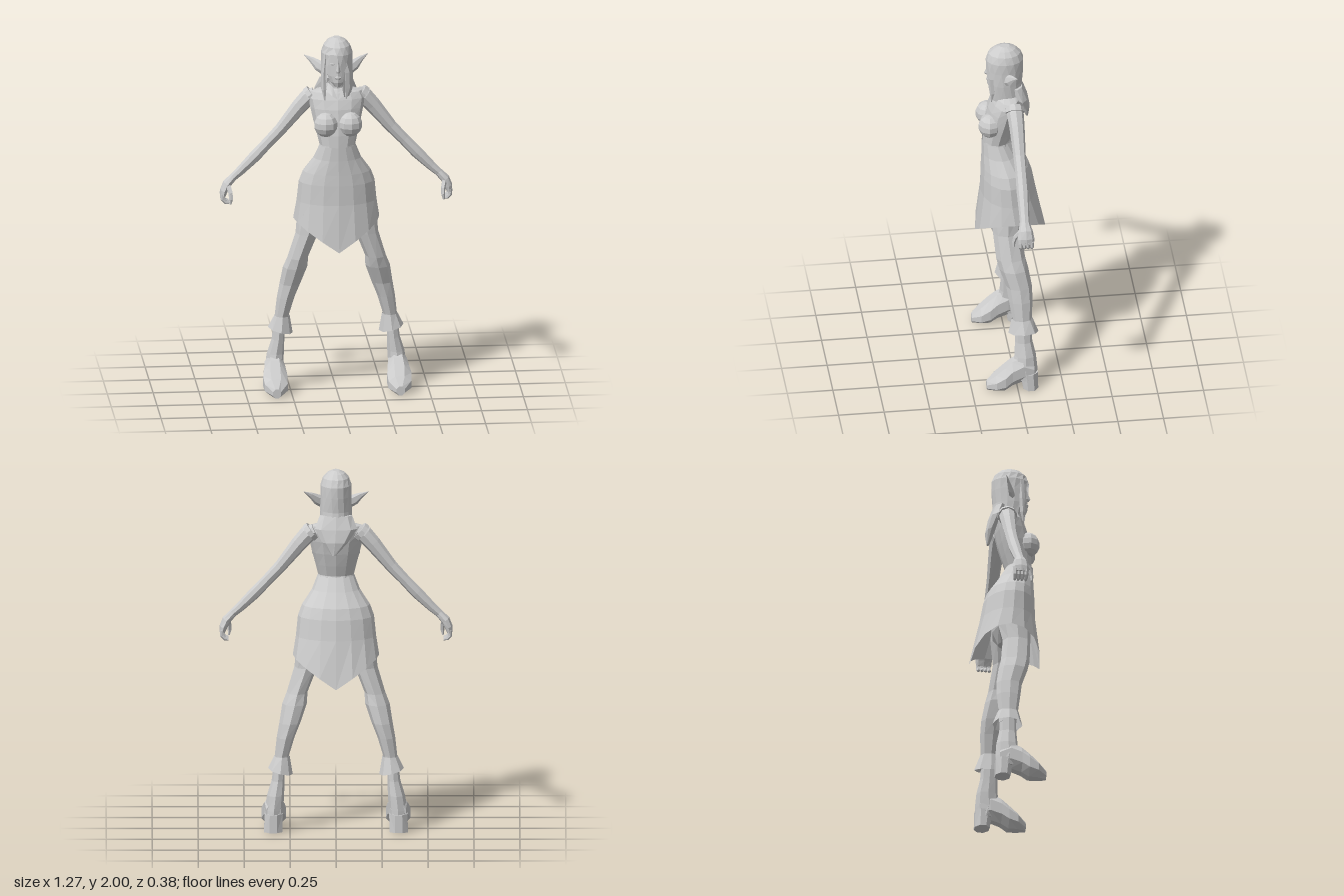
import * as THREE from 'three';

const clay = new THREE.MeshStandardMaterial({ color: 0xcccccc, flatShading: true, side: THREE.DoubleSide });
clay.name = 'pale grey';

// Skin a list of rings (arrays of Vector3, counter-clockwise about the path)
function loft(rings, { closed = true, caps = true } = {}) {
  const pos = [];
  const tri = (...p) => p.forEach((v) => pos.push(v.x, v.y, v.z));
  const n = rings[0].length;
  const edges = closed ? n : n - 1;
  for (let r = 0; r < rings.length - 1; r++) {
    const lo = rings[r], hi = rings[r + 1];
    for (let i = 0; i < edges; i++) {
      const j = (i + 1) % n;
      tri(lo[i], lo[j], hi[j]);
      tri(lo[i], hi[j], hi[i]);
    }
  }
  if (caps) {
    [rings[0], rings[rings.length - 1]].forEach((ring, top) => {
      const mid = ring.reduce((s, v) => s.add(v), new THREE.Vector3()).divideScalar(n);
      for (let i = 0; i < n; i++) {
        const j = (i + 1) % n;
        if (top) tri(ring[i], ring[j], mid);
        else tri(ring[j], ring[i], mid);
      }
    });
  }
  const geo = new THREE.BufferGeometry();
  geo.setAttribute('position', new THREE.Float32BufferAttribute(pos, 3));
  geo.computeVertexNormals();
  return geo;
}

// Horizontal oval ring filling x0..x1 and z0..z1; a flat one has level sides
function ring([y, x0, x1, z0, z1, t0 = 0, t1 = Math.PI * 2], n, flat = false, open = false) {
  const k = flat ? 1 / Math.cos(Math.PI / n) : 1;
  return Array.from({ length: n }, (_, i) => {
    const t = t0 + ((i + (flat ? 0.5 : 0)) / (open ? n - 1 : n)) * (t1 - t0);
    return new THREE.Vector3(
      (x0 + x1) / 2 + Math.sin(t) * k * (x1 - x0) / 2, y,
      (z0 + z1) / 2 + Math.cos(t) * k * (z1 - z0) / 2);
  });
}
const stack = (rows, n = 8, flat = false) => loft(rows.map((r) => ring(r, n, flat)));
const even = (rows, n) => stack(rows.map(([y, rx, z0, z1]) => [y, -rx, rx, z0, z1]), n);

// Tapered limb through [x, y, z, radius in the xy plane, radius across it]
function limb(pts, n = 8) {
  return loft(pts.map(([x, y, z, ra, rb], i) => {
    const a = pts[Math.max(i - 1, 0)], b = pts[Math.min(i + 1, pts.length - 1)];
    const len = Math.hypot(b[0] - a[0], b[1] - a[1]);
    const tx = (b[0] - a[0]) / len, ty = (b[1] - a[1]) / len;
    return Array.from({ length: n }, (_, k) => {
      const t = (k / n) * Math.PI * 2, u = Math.cos(t) * ra;
      return new THREE.Vector3(x - ty * u, y + tx * u, z + Math.sin(t) * rb);
    });
  }));
}

// Mirror a geometry in x and restore its winding
function mirrored(geo) {
  const g = geo.index ? geo.toNonIndexed() : geo.clone();
  const p = g.attributes.position;
  const at = (i) => new THREE.Vector3().fromBufferAttribute(p, i);
  for (let i = 0; i < p.count; i += 3) {
    [at(i), at(i + 2), at(i + 1)].forEach((v, k) => p.setXYZ(i + k, -v.x, v.y, v.z));
  }
  g.computeVertexNormals();
  return g;
}

export function createModel() {
  const model = new THREE.Group();
  model.name = 'figure';
  const add = (name, geo) => {
    const mesh = new THREE.Mesh(geo, clay);
    mesh.name = name;
    model.add(mesh);
  };
  const pair = (name, geo) => {
    add(name + 'Left', geo);
    add(name + 'Right', mirrored(geo));
  };

  // Torso and neck
  add('torso', even([
    [1.36, 0.11, -0.01, 0.15], [1.41, 0.098, 0, 0.148], [1.47, 0.112, -0.02, 0.145],
    [1.54, 0.13, -0.04, 0.135], [1.61, 0.145, -0.055, 0.12], [1.66, 0.155, -0.06, 0.1],
    [1.695, 0.14, -0.055, 0.08], [1.715, 0.06, -0.04, 0.065]], 12));
  add('neck', even([[1.68, 0.05, -0.035, 0.06], [1.72, 0.038, -0.025, 0.055], [1.79, 0.038, -0.02, 0.065]], 8));
  const bust = new THREE.SphereGeometry(1, 9, 7);
  bust.scale(0.066, 0.068, 0.062).rotateY(0.25).translate(0.067, 1.53, 0.118);
  pair('bust', bust);

  // Collar flaps meeting in a V
  pair('collar', loft([
    [[0, 1.665, 0.108], [0.03, 1.685, 0.1], [0.065, 1.71, 0.06], [0.06, 1.72, -0.04]],
    [[0.008, 1.685, 0.1], [0.026, 1.73, 0.075], [0.045, 1.745, 0.04], [0.035, 1.745, -0.035]],
  ].map((r) => r.map((p) => new THREE.Vector3(...p))), { closed: false, caps: false }));

  // Skirt with a point at front and back
  const skirt = [
    [1.405, 0.1, 0, 0.153], [1.33, 0.13, -0.045, 0.154], [1.25, 0.185, -0.1, 0.157],
    [1.19, 0.207, -0.12, 0.16], [1.08, 0.218, -0.14, 0.163], [0.97, 0.235, -0.195, 0.19],
  ].reverse().map(([y, rx, z0, z1], i) => {
    const r = ring([y, -rx, rx, z0, z1], 16);
    if (i === 0) r.forEach((v) => { v.y = 0.82 + 0.155 * Math.abs(v.x) / rx; });
    return r;
  });
  add('skirt', loft(skirt, { caps: false }));
  add('pelvis', even([[0.95, 0.06, -0.04, 0.09], [1.02, 0.17, -0.07, 0.12], [1.15, 0.18, -0.09, 0.14]], 10));

  // Legs, flared cuffs and heeled boots
  pair('leg', stack([
    [0.34, 0.275, 0.34, -0.085, 0.01], [0.42, 0.255, 0.333, -0.085, 0.022],
    [0.52, 0.225, 0.322, -0.092, 0.038], [0.6, 0.193, 0.308, -0.09, 0.05],
    [0.7, 0.158, 0.292, -0.073, 0.085], [0.76, 0.155, 0.268, -0.058, 0.1],
    [0.9, 0.1, 0.226, -0.04, 0.112], [1.02, 0.03, 0.215, -0.06, 0.12], [1.1, 0.01, 0.17, -0.06, 0.11]]));
  const cuff = [[0.33, 0.235, 0.37, -0.12, 0.045], [0.415, 0.252, 0.336, -0.088, 0.026]].map((r) => ring(r, 8));
  cuff[0].forEach((v) => { v.y += (v.x - 0.3) * 0.25; });
  pair('cuff', loft(cuff, { caps: false }));
  pair('bootShaft', stack([
    [0.06, 0.29, 0.39, -0.11, 0], [0.12, 0.287, 0.388, -0.11, 0.03], [0.2, 0.282, 0.375, -0.103, 0.015],
    [0.28, 0.28, 0.35, -0.085, 0.01], [0.36, 0.277, 0.34, -0.08, 0.008]]));
  pair('heel', stack([[0, 0.292, 0.392, -0.112, -0.03], [0.1, 0.292, 0.388, -0.11, -0.015]], 8, true));
  // Foot rows run heel to toe: z, x range, then negated top and bottom heights
  const foot = stack([
    [-0.09, 0.3, 0.38, -0.16, -0.05], [-0.03, 0.285, 0.388, -0.2, -0.045],
    [0.03, 0.278, 0.395, -0.175, -0.025], [0.07, 0.272, 0.405, -0.14, 0],
    [0.12, 0.275, 0.4, -0.095, 0], [0.168, 0.315, 0.36, -0.05, 0]], 8, true);
  pair('foot', foot.rotateX(Math.PI / 2));

  // Arms, hands and curled fingers
  pair('arm', limb([
    [0.115, 1.67, -0.01, 0.04, 0.045], [0.155, 1.65, -0.012, 0.048, 0.046],
    [0.2, 1.6, -0.015, 0.044, 0.042], [0.3, 1.475, -0.017, 0.034, 0.034],
    [0.37, 1.4, -0.018, 0.031, 0.032], [0.44, 1.325, -0.017, 0.033, 0.033],
    [0.52, 1.245, -0.015, 0.026, 0.028], [0.57, 1.2, -0.013, 0.021, 0.026]]));
  pair('armhole', limb([[0.128, 1.672, -0.01, 0.052, 0.054], [0.148, 1.655, -0.011, 0.053, 0.054]], 10));
  pair('palm', limb([
    [0.56, 1.21, -0.013, 0.022, 0.027], [0.595, 1.172, -0.014, 0.025, 0.04],
    [0.612, 1.135, -0.015, 0.022, 0.045], [0.618, 1.105, -0.015, 0.016, 0.042]]));
  [-0.046, -0.026, -0.006, 0.014].forEach((z, i) => pair('finger' + (i + 1), limb([
    [0.62, 1.12, z, 0.013, 0.011], [0.619, 1.09, z, 0.012, 0.011],
    [0.604, 1.073, z, 0.01, 0.01], [0.585, 1.07, z, 0.006, 0.006]], 5)));
  pair('thumb', limb([
    [0.59, 1.17, 0.015, 0.014, 0.014], [0.58, 1.135, 0.04, 0.013, 0.013],
    [0.578, 1.1, 0.05, 0.011, 0.011], [0.582, 1.072, 0.05, 0.006, 0.006]], 5));

  // Face, nose, lips and eyes
  add('head', even([
    [1.74, 0.018, 0.06, 0.113], [1.765, 0.042, 0.01, 0.123], [1.8, 0.058, -0.02, 0.124],
    [1.86, 0.066, -0.04, 0.121], [1.92, 0.066, -0.045, 0.117], [1.965, 0.04, -0.02, 0.085]], 10));
  add('nose', stack([[1.82, -0.011, 0.011, 0.1, 0.13], [1.832, -0.012, 0.012, 0.1, 0.14],
    [1.88, -0.005, 0.005, 0.1, 0.122]], 4));
  add('lips', stack([[1.782, -0.012, 0.012, 0.1, 0.125], [1.794, -0.02, 0.02, 0.1, 0.129],
    [1.804, -0.012, 0.012, 0.1, 0.126]], 6));
  const eye = new THREE.SphereGeometry(1, 6, 4);
  eye.scale(0.015, 0.006, 0.008).rotateY(0.35).translate(0.03, 1.868, 0.106);
  pair('eye', eye);
  pair('ear', limb([
    [0.065, 1.82, 0.03, 0.034, 0.02], [0.1, 1.838, 0.015, 0.03, 0.016],
    [0.135, 1.866, -0.003, 0.016, 0.009], [0.175, 1.89, -0.02, 0.001, 0.001]], 6));

  // Hair shell, open around one side of the face
  const full = Math.PI * 2;
  add('hair', loft([
    [1.68, -0.085, 0.085, -0.08, 0.115, 0.4, full - 0.85], [1.78, -0.088, 0.088, -0.068, 0.127, 0.3, full - 0.75],
    [1.86, -0.086, 0.086, -0.075, 0.131, 0.15, full - 0.7], [1.92, -0.085, 0.085, -0.076, 0.131, -0.1, full - 0.55],
    [1.96, -0.072, 0.072, -0.06, 0.117, -0.3, full - 0.3], [1.985, -0.05, 0.05, -0.033, 0.09, -0.3, full - 0.3],
    [2, -0.02, 0.02, 0, 0.055, -0.3, full - 0.3], [2, -0.001, 0.001, 0.027, 0.029, -0.3, full - 0.3],
  ].map((r) => ring(r, 15, false, true)), { closed: false, caps: false }));
  // Long hair spreading over the shoulders to a point
  add('backHair', stack([
    [1.55, 0, 0.025, -0.1, -0.085], [1.62, -0.065, 0.075, -0.108, -0.06],
    [1.69, -0.115, 0.115, -0.095, -0.02], [1.76, -0.088, 0.088, -0.07, 0.01]], 8));
  // Loose locks beside the face
  add('lockRight', limb([[-0.07, 1.66, 0.09, 0.003, 0.003], [-0.074, 1.72, 0.085, 0.014, 0.015],
    [-0.075, 1.8, 0.08, 0.013, 0.018], [-0.062, 1.92, 0.075, 0.012, 0.02]], 5));
  add('lockLeft', limb([[0.045, 1.67, 0.105, 0.003, 0.003], [0.05, 1.73, 0.1, 0.018, 0.014],
    [0.045, 1.82, 0.105, 0.022, 0.016], [0.02, 1.93, 0.1, 0.015, 0.02]], 5));

  return model;
}
